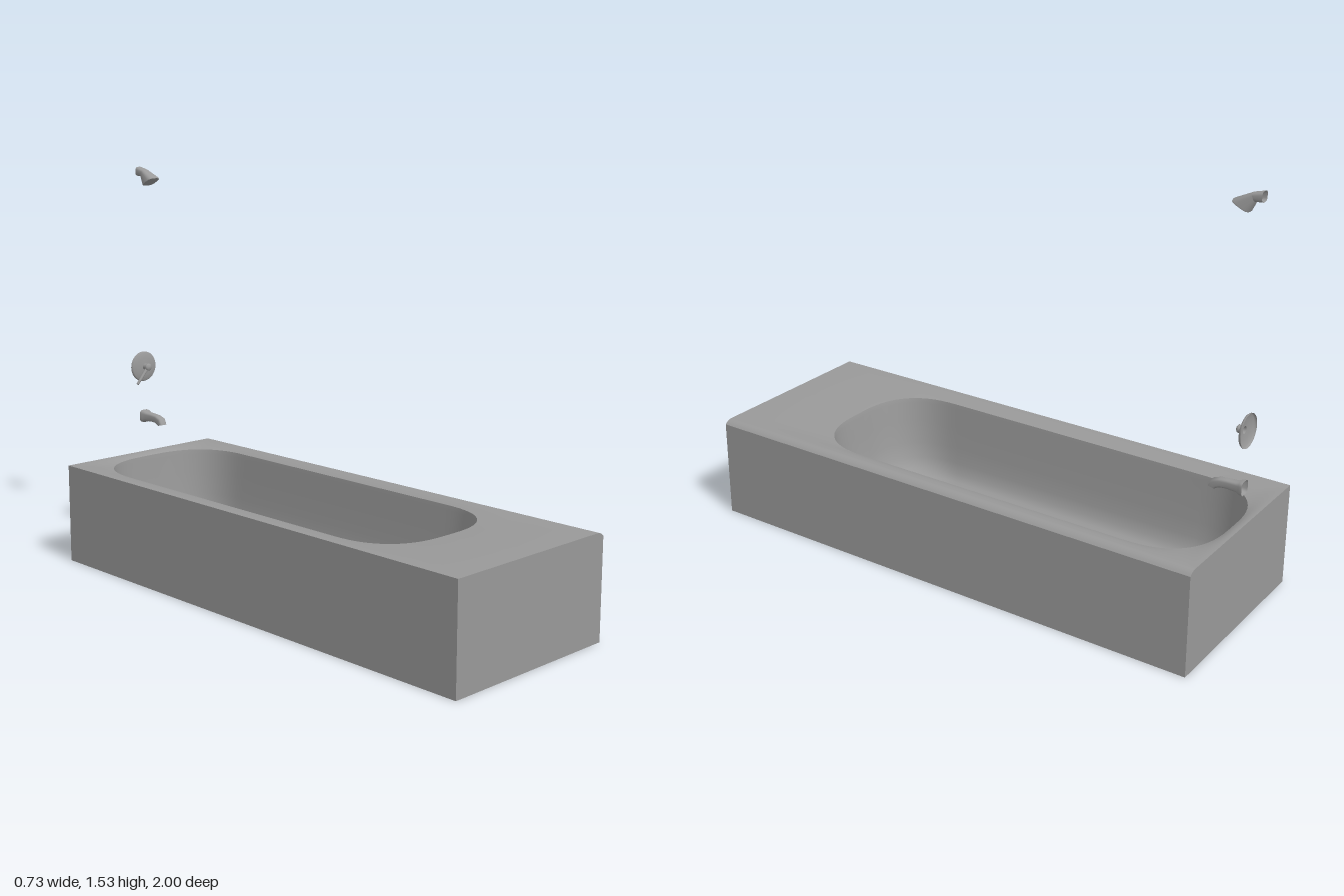
import * as THREE from 'three';

const V = (x, y, z) => new THREE.Vector3(x, y, z);
const grey = new THREE.MeshStandardMaterial({ color: 0x999999, side: THREE.DoubleSide });

function mesh(name, geometry, parent) {
  const m = new THREE.Mesh(geometry, grey);
  m.name = name;
  parent.add(m);
  return m;
}

// Skin a list of equally long rows of points
function loft(rows, closed = true) {
  const n = rows[0].length, index = [];
  for (let i = 0; i < rows.length - 1; i++) {
    for (let j = 0; j < (closed ? n : n - 1); j++) {
      const k = (j + 1) % n;
      const a = i * n + j, b = i * n + k, c = a + n, d = b + n;
      index.push(a, c, b, b, c, d);
    }
  }
  const g = new THREE.BufferGeometry().setFromPoints(rows.flat());
  g.setIndex(index);
  g.computeVertexNormals();
  return g;
}

const X = 0.367, H = 0.385, STEPS = 16, STRAIGHT = 12;

// Eased edge along one long side, from the deck down to the wall
const EASE_R = 0.042, EASE_ANGLE = 0.87, DECK_X = X - EASE_R * Math.sin(EASE_ANGLE);
const easedEdge = Array.from({ length: 6 }, (_, i) => {
  const a = EASE_ANGLE * i / 5;
  return [DECK_X + EASE_R * Math.sin(a), H - EASE_R * (1 - Math.cos(a))];
});
const WALL_TOP = easedEdge[5][1];

// Walk a ring as four corners joined by straights: fn(corner, t, isStraight)
function walk(fn) {
  const pts = [];
  for (let q = 0; q < 4; q++) {
    for (let k = 0; k <= STEPS; k++) pts.push(fn(q, k / STEPS, false));
    for (let k = 1; k < STRAIGHT; k++) pts.push(fn(q, k / STRAIGHT, true));
  }
  return pts;
}
const SIGN = [[1, 1], [-1, 1], [-1, -1], [1, -1]];

// Soft-cornered basin outline at height y
function basinRing(y, a, zBack, zFront, r) {
  const corner = (q, t) => {
    const [sx, sz] = SIGN[q % 4];
    const ang = (q % 2 ? 1 - t : t) * Math.PI / 2;
    const e = 2 / 2.5;
    const cx = a - r, cz = (sz > 0 ? zFront : -zBack) - r;
    return V(sx * (cx + r * Math.max(0, Math.cos(ang)) ** e), y,
      sz * (cz + r * Math.max(0, Math.sin(ang)) ** e));
  };
  return walk((q, t, s) => s ? corner(q, 1).lerp(corner(q + 1, 0), t) : corner(q, t));
}

// Rectangular deck edge with points matching the basin outline
function deckRing() {
  const corner = (q, t) => {
    const [sx, sz] = SIGN[q % 4];
    const u = q % 2 ? 1 - t : t;
    const ex = sx > 0 ? DECK_X : X, z0 = sz > 0 ? 0.38 : 0.7;
    return u <= 0.5
      ? V(sx * ex, H, sz * (z0 + (1 - z0) * u * 2))
      : V(sx * (ex + (0.02 - ex) * (u - 0.5) * 2), H, sz);
  };
  return walk((q, t, s) => s ? corner(q, 1).lerp(corner(q + 1, 0), t) : corner(q, t));
}

// Tapered tube with rings [z, y, halfWidth, halfHeight, tilt], capped at the end
function taperedTube(x, sections, n, sides = 24) {
  const pw = (v) => Math.sign(v) * Math.abs(v) ** (2 / n);
  const rows = sections.map(([z, y, rx, ry, tilt = 0]) =>
    Array.from({ length: sides }, (_, i) => {
      const a = i / sides * Math.PI * 2, u = -ry * pw(Math.sin(a));
      return V(x + rx * pw(Math.cos(a)), y + u * Math.cos(tilt), z + u * Math.sin(tilt));
    }));
  const last = rows[rows.length - 1], [cz, cy] = sections[sections.length - 1];
  rows.push(last.map(p => p.clone()), last.map(() => V(x, cy, cz)));
  return loft(rows);
}

function endWall(s) {
  const shape = new THREE.Shape([[-X, 0], [X, 0], ...easedEdge.slice().reverse(), [-X, H]]
    .map(([x, y]) => new THREE.Vector2(x * s, y)));
  const g = new THREE.ShapeGeometry(shape);
  if (s < 0) g.rotateY(Math.PI);
  return g.translate(0, 0, s);
}

export function createModel() {
  const root = new THREE.Group();
  root.name = 'bathtubWithShower';

  // Apron, open underneath, with an eased edge along one long side
  const apron = new THREE.Group();
  apron.name = 'apron';
  root.add(apron);
  mesh('frontWall', endWall(1), apron);
  mesh('backWall', endWall(-1), apron);
  const strip = (profile, s) => loft(profile.map(([x, y]) => [V(x, y, s), V(x, y, -s)]), false);
  mesh('leftWall', strip([[X, WALL_TOP], [X, 0]], 1), apron);
  mesh('easedEdge', strip(easedEdge, 1), apron);
  mesh('rightWall', strip([[-X, H], [-X, 0]], -1), apron);

  // Deck dipping gently towards the basin
  const rim = basinRing(0.373, 0.284, -0.961, 0.643, 0.26);
  const edge = deckRing();
  const deckRows = [];
  for (let i = 0; i <= 6; i++) {
    const t = i / 6;
    deckRows.push(edge.map((p, j) => {
      const v = p.clone().lerp(rim[j], t);
      v.y = H - 0.012 * t * t;
      return v;
    }));
  }
  mesh('deck', loft(deckRows), root);

  // Basin: steep walls rounding into a broad floor
  const levels = [
    [0.355, 0.282, -0.959, 0.639, 0.258],
    [0.28, 0.277, -0.953, 0.630, 0.253],
    [0.19, 0.269, -0.944, 0.617, 0.245],
    [0.13, 0.261, -0.935, 0.602, 0.237],
    [0.09, 0.249, -0.921, 0.58, 0.225],
    [0.066, 0.228, -0.898, 0.545, 0.204],
    [0.055, 0.195, -0.862, 0.487, 0.172],
    [0.051, 0.14, -0.81, 0.40, 0.12],
    [0.05, 0.07, -0.74, 0.31, 0.05],
    [0.05, 0, -0.67, 0.22, 0],
  ];
  mesh('basin', loft([rim, ...levels.map(l => basinRing(...l))]), root);

  // Drain plug
  const drain = mesh('drain', new THREE.SphereGeometry(0.024, 24, 8, 0, Math.PI * 2, 0, Math.PI / 2), root);
  drain.scale.y = 0.4;
  drain.position.set(0, 0.052, -0.79);

  // Spout
  mesh('spout', taperedTube(0.01, [
    [-1, 0.531, 0.024, 0.025], [-0.988, 0.531, 0.023, 0.024], [-0.975, 0.531, 0.018, 0.018],
    [-0.94, 0.531, 0.016, 0.016], [-0.915, 0.529, 0.016, 0.016, 0.2],
    [-0.895, 0.522, 0.017, 0.017, 0.7], [-0.886, 0.508, 0.016, 0.014, 1.35],
  ], 3.5), root);

  // Mixer control: round plate, stem and lever
  const mixer = new THREE.Group();
  mixer.name = 'mixerControl';
  mixer.position.set(0.008, 0.735, -1);
  root.add(mixer);
  const profile = [[0.06, 0], [0.06, 0.004], [0.056, 0.009], [0.035, 0.013], [0.013, 0.015],
    [0.013, 0.015], [0.012, 0.03], [0.014, 0.032], [0.014, 0.037], [0.009, 0.041], [0, 0.042]];
  mesh('wallPlate', new THREE.LatheGeometry(
    profile.map(([r, h]) => new THREE.Vector2(r, h)), 40).rotateX(Math.PI / 2), mixer);
  const lever = mesh('lever', new THREE.CylinderGeometry(0.005, 0.007, 0.078, 12), mixer);
  lever.position.set(-0.027, -0.034, 0.03);
  lever.rotation.z = Math.PI - Math.atan2(0.05, 0.06);

  // Shower head: short arm flaring into a slanted face
  mesh('showerHead', taperedTube(0.009, [
    [-1, 1.514, 0.019, 0.018], [-0.968, 1.509, 0.019, 0.015, 0.42],
    [-0.968, 1.509, 0.019, 0.015, 0.42], [-0.929, 1.479, 0.028, 0.033, 1.08],
    [-0.927, 1.475, 0.028, 0.033, 1.09],
  ], 3), root);

  return root;
}
